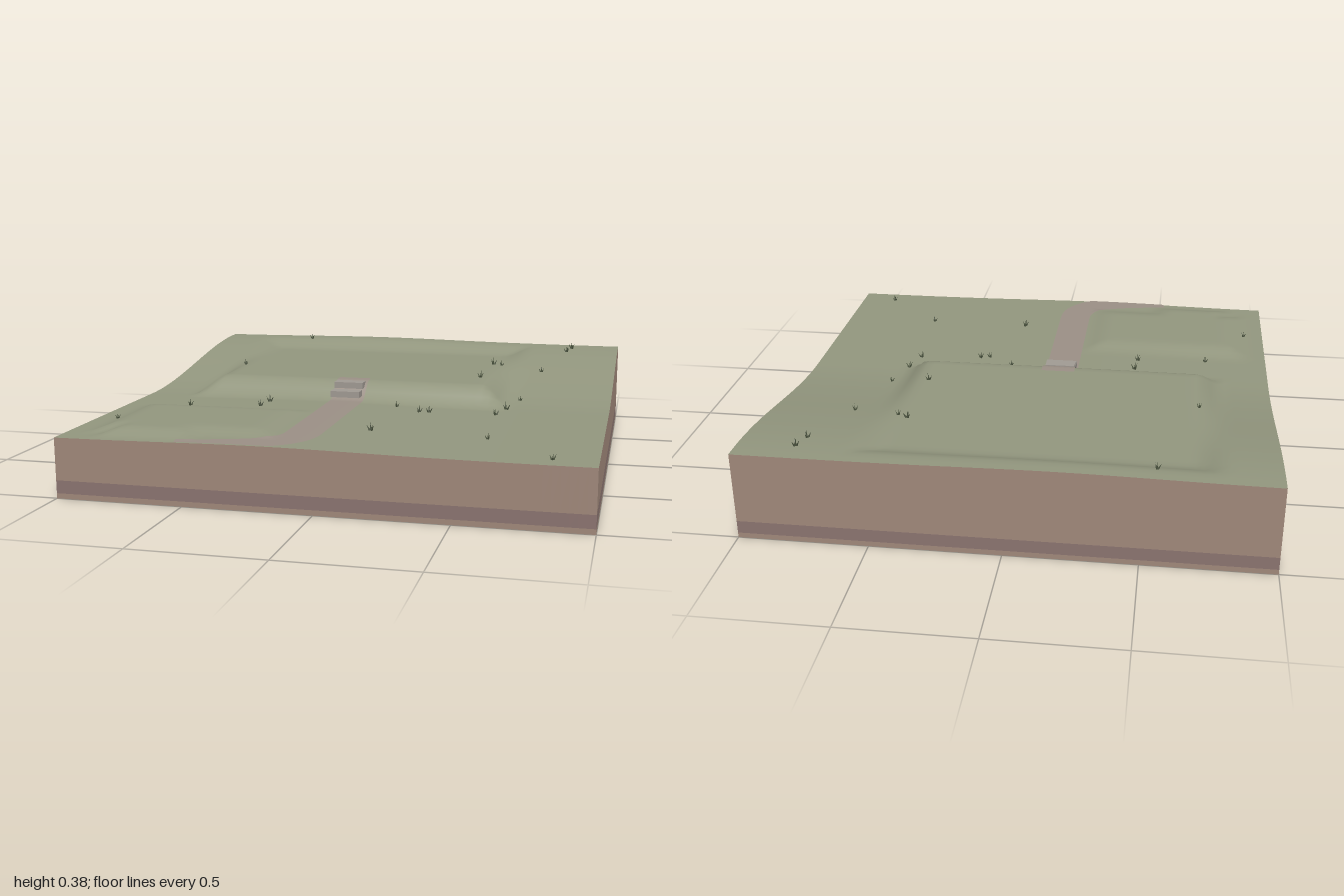
import * as THREE from 'three';
import { mergeGeometries } from 'three/addons/utils/BufferGeometryUtils.js';

const SEG = 64;
const clamp = THREE.MathUtils.clamp;
const smooth = THREE.MathUtils.smoothstep;
const mat = (color, side = THREE.FrontSide) =>
  new THREE.MeshStandardMaterial({ color, side, roughness: 1 });

// How strongly a levelled rectangle applies: 1 inside, falling to 0 over the margin
function padWeight(x, z, x0, x1, z0, z1, margin) {
  const d = Math.max(x0 - x, x - x1, z0 - z, z - z1, 0);
  return 1 - smooth(d, 0, margin);
}

// Ground height: a gentle hillside, an upper terrace and a low garden bed
function height(x, z) {
  let h = 0.234 + 0.118 * smooth(-z, -0.1, 0.98) + 0.01 * Math.exp(-(((x + 0.2) / 0.5) ** 2));
  h += (0.315 - h) * padWeight(x, z, -0.68, 0.46, -0.81, 0.0, 0.125);
  const bed = Math.max(
    padWeight(x, z, -0.82, -0.28, 0.46, 0.79, 0.11),
    padWeight(x, z, -0.77, -0.56, 0.5, 0.87, 0.1));
  return h + (Math.max(h, 0.264) - h) * bed;
}

// Grid surface draped over the ground
function makeGrass() {
  const g = new THREE.PlaneGeometry(2, 2, SEG, SEG).rotateX(-Math.PI / 2);
  const p = g.attributes.position;
  for (let i = 0; i < p.count; i++) p.setY(i, height(p.getX(i), p.getZ(i)));
  g.computeVertexNormals();
  return g;
}

// Strip surface from a list of [a, b] point pairs
function makeStrip(pairs) {
  const pos = [], idx = [];
  pairs.forEach(([a, b], i) => {
    pos.push(...a, ...b);
    if (i) idx.push(2 * i - 2, 2 * i - 1, 2 * i, 2 * i, 2 * i - 1, 2 * i + 1);
  });
  const g = new THREE.BufferGeometry();
  g.setAttribute('position', new THREE.Float32BufferAttribute(pos, 3));
  g.setIndex(idx);
  g.computeVertexNormals();
  return g;
}

// One layer of the cut earth: four outer walls between two height rules
function makeLayer(low, high) {
  const walls = [t => [t, 1], t => [1, -t], t => [-t, -1], t => [-1, t]];
  return mergeGeometries(walls.map(at => {
    const pairs = [];
    for (let i = 0; i <= SEG; i++) {
      const [x, z] = at(-1 + (2 * i) / SEG);
      pairs.push([[x, high(x, z), z], [x, low, z]]);
    }
    return makeStrip(pairs);
  }));
}

// Path ribbon following the ground and bending towards the front edge
function makePath() {
  const curve = new THREE.CurvePath();
  const v = (x, z) => new THREE.Vector2(x, z);
  curve.add(new THREE.LineCurve(v(-0.1, -0.04), v(-0.1, 0.76)));
  curve.add(new THREE.CubicBezierCurve(v(-0.1, 0.76), v(-0.1, 0.92), v(-0.2, 0.98), v(-0.52, 1.03)));
  const n = 90, across = 6, strips = [];
  const point = (t, s) => {
    const c = curve.getPoint(t), d = curve.getTangent(t);
    const x = c.x + d.y * s, z = Math.min(c.y - d.x * s, 1);
    return [x, height(x, z) + 0.003, z];
  };
  for (let k = 0; k < across; k++) {
    const s0 = 0.07 - (0.14 * k) / across, s1 = 0.07 - (0.14 * (k + 1)) / across;
    const pairs = [];
    for (let i = 0; i <= n; i++) pairs.push([point(i / n, s1), point(i / n, s0)]);
    strips.push(makeStrip(pairs));
  }
  const g = mergeGeometries(strips);
  // Every upward surface shares the soft upright shading of the ground
  const nor = g.attributes.normal;
  for (let i = 0; i < nor.count; i++) if (nor.getY(i) < 0) nor.setXYZ(i, -nor.getX(i), -nor.getY(i), -nor.getZ(i));
  return g;
}

// Tuft of leaning blades
function makeTuft() {
  const blades = [];
  for (let i = 0; i < 4; i++) {
    const h = i === 0 ? 0.032 : 0.025;
    const b = new THREE.ConeGeometry(0.004, h, 4).translate(0, h / 2, 0);
    b.rotateZ(i === 0 ? 0.1 : 0.5).translate(i === 0 ? 0 : -0.003, 0, 0);
    blades.push(b.rotateY((i * Math.PI * 2) / 3));
  }
  return mergeGeometries(blades);
}

export function createModel() {
  const model = new THREE.Group();
  const add = (name, geometry, material, parent = model) => {
    const m = new THREE.Mesh(geometry, material);
    m.name = name;
    parent.add(m);
    return m;
  };

  // Ground and cut earth
  add('grassSurface', makeGrass(), mat(0x92967e));
  const soil = mat(0xa0887a), dark = mat(0x8b7470);
  add('soilLayer', makeLayer(0.07, height), soil);
  add('darkSoilLayer', makeLayer(0.02, () => 0.07), dark);
  add('baseLayer', makeLayer(0, () => 0.02), soil);
  add('underside', new THREE.PlaneGeometry(2, 2).rotateX(Math.PI / 2), mat(0x6b645c));

  // Path and the two steps up to the terrace
  add('path', makePath(), mat(0x9a8f85, THREE.DoubleSide));
  const steps = new THREE.Group();
  steps.name = 'steps';
  model.add(steps);
  const stone = mat(0xa09a93);
  [[0.276, 0.113], [0.304, 0.048]].forEach(([y, z], i) => {
    add('step' + (i + 1), new THREE.BoxGeometry(0.125, 0.026, 0.056), stone, steps)
      .position.set(-0.103, y, z);
  });

  // Scattered grass tufts
  const spots = [
    [-0.91, 0.64], [-0.73, 0.32], [-0.43, 0.29], [-0.42, 0.19], [-0.7, -0.31],
    [-0.55, -0.92], [0.43, -0.19], [0.44, -0.55], [0.48, -0.53], [0.67, -0.48],
    [0.76, -0.82], [0.78, -0.9], [0.13, 0.17], [0.24, 0.25], [0.28, 0.24],
    [0.13, 0.64], [0.58, 0.66], [0.84, 0.92], [0.55, 0.22], [0.58, 0.1], [0.62, -0.07],
  ];
  const tufts = new THREE.Group();
  tufts.name = 'grassTufts';
  model.add(tufts);
  const tuftGeometry = makeTuft(), blade = mat(0x4c5540);
  spots.forEach(([x, z], i) => {
    const t = add('tuft' + (i + 1), tuftGeometry, blade, tufts);
    t.position.set(x, height(x, z) - 0.002, z);
    t.rotation.y = i * 1.7;
    t.scale.setScalar(clamp(0.85 + 0.1 * (i % 4), 0.85, 1.15));
  });
  return model;
}
